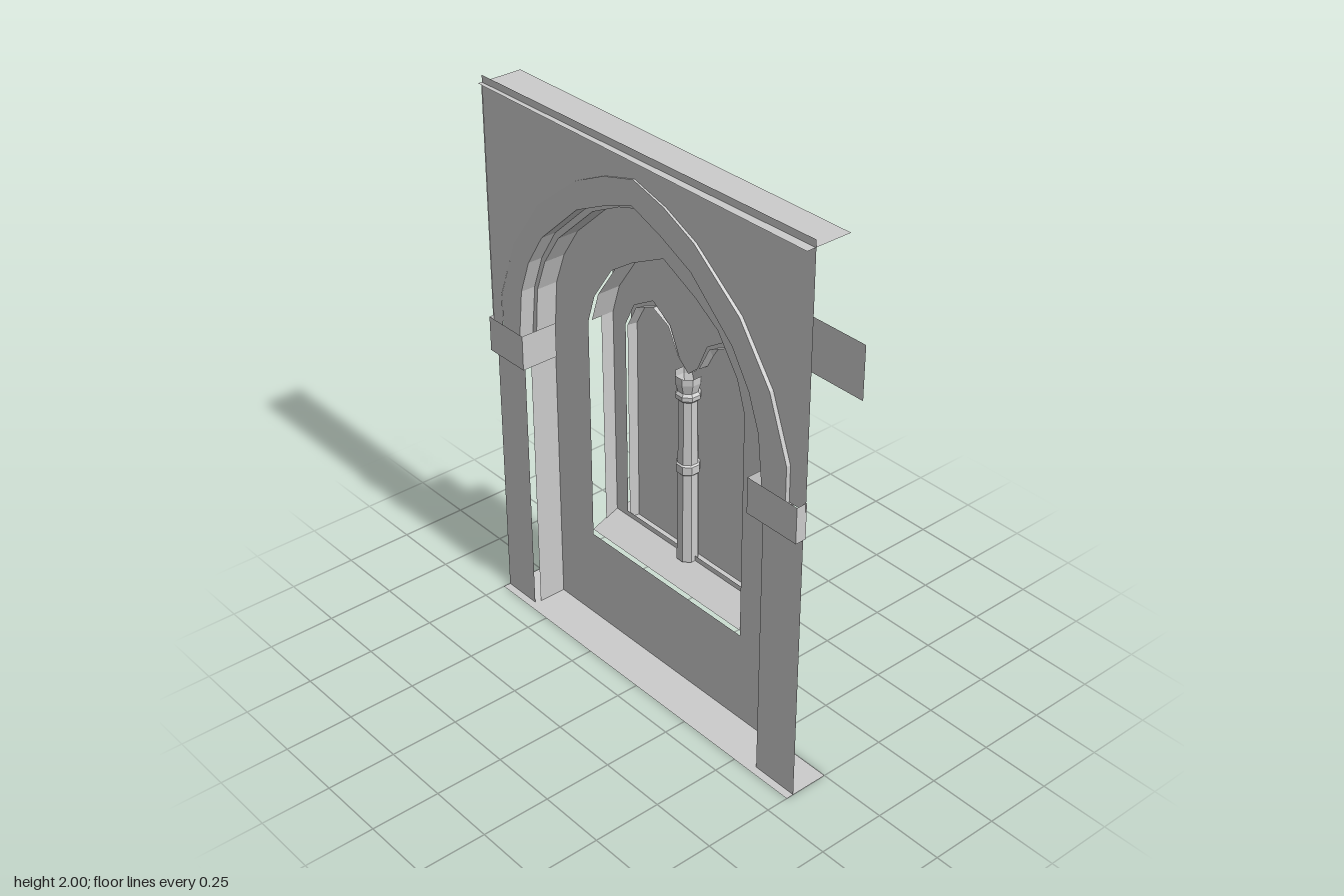
import * as THREE from 'three';

const mat = new THREE.MeshStandardMaterial({ color: 0xcccccc, side: THREE.DoubleSide, flatShading: true });

export function createModel() {
  const root = new THREE.Group();
  const add = (name, geo) => {
    const mesh = new THREE.Mesh(geo, mat);
    mesh.name = name;
    root.add(mesh);
    return mesh;
  };

  // Mirrors a left half profile (foot to crown) about x = cx into a full line
  const mirrored = (half, cx) => [
    ...half,
    ...half.filter(p => Math.abs(p[0] - cx) > 1e-4).reverse().map(([x, y]) => [2 * cx - x, y]),
  ];
  const rect = (xa, xb, y0, y1) => [[xa, y0], [xb, y0], [xb, y1], [xa, y1]];

  // Flat sheet facing the front, with optional hole
  const sheet = (name, outline, z, hole) => {
    const v = pts => pts.map(p => new THREE.Vector2(...p));
    const shape = new THREE.Shape(v(outline));
    if (hole) shape.holes.push(new THREE.Path(v(hole)));
    return add(name, new THREE.ShapeGeometry(shape).translate(0, 0, z));
  };

  // Band joining a line at depth za to a matching line at depth zb
  const band = (name, a, za, b, zb) => {
    const pos = [], index = [];
    a.forEach((p, i) => {
      pos.push(p[0], p[1], za, b[i][0], b[i][1], zb);
      if (i) index.push(2 * i - 2, 2 * i - 1, 2 * i, 2 * i, 2 * i - 1, 2 * i + 1);
    });
    const g = new THREE.BufferGeometry();
    g.setAttribute('position', new THREE.Float32BufferAttribute(pos, 3));
    g.setIndex(index);
    g.computeVertexNormals();
    return add(name, g);
  };

  // Stepped pointed arch lines, outermost first
  const co = -0.01, cx = -0.017;
  const outer = mirrored([[-0.7, 1.1], [-0.7, 1.23], [-0.62, 1.45], [-0.485, 1.64], [-0.285, 1.8], [-0.15, 1.865], [co, 1.905]], co);
  const middle = mirrored([[-0.61, 1.1], [-0.59, 1.285], [-0.545, 1.41], [-0.47, 1.53], [-0.285, 1.7], [-0.15, 1.765], [cx, 1.815]], cx);
  const inner = mirrored([[-0.59, 1.1], [-0.575, 1.28], [-0.53, 1.4], [-0.455, 1.515], [-0.275, 1.68], [-0.145, 1.745], [cx, 1.785]], cx);

  // Spandrel wall (slightly turned), hood ring flush with it, stepped reveals
  sheet('spandrelWall', [[-0.75, 1.1], ...outer, [0.75, 1.1], [0.75, 2], [-0.75, 2]], 0.144).rotation.y = 0.012;
  band('hoodOuterSide', outer, 0.15, outer, 0.095);
  sheet('hoodRing', [...outer, ...middle.slice().reverse()], 0.15);
  band('hoodReveal', middle, 0.15, middle, 0.05);
  sheet('innerArchRing', [...middle, ...inner.slice().reverse()], 0.095);
  band('innerArchReveal', inner, 0.095, inner, 0.005);

  // Top and bottom flanges and the side return
  for (const [name, y] of [['topFlange', 1.975], ['bottomFlange', 0]]) {
    const line = [[-0.75, y], [0.75, y]];
    band(name, line, 0.168, line, 0);
  }
  band('sideReturn', [[-0.75, 1.1], [-0.75, 1.975]], 0.155, [[-0.735, 1.1], [-0.735, 1.975]], 0.015);

  // Piers, jambs set just inside their edges, and open box capitals
  for (const [side, xo, xi, xj, xc] of [['right', -0.75, -0.6, -0.593, -0.57], ['left', 0.75, 0.575, 0.568, 0.535]]) {
    sheet(side + 'Pier', rect(Math.min(xo, xi), Math.max(xo, xi), 0, 1.02), 0.14);
    const jamb = [[xj, 0], [xj, 1.1]];
    band(side + 'PierJamb', jamb, 0.12, jamb, 0.015);
    sheet(side + 'Capital', rect(Math.min(xo, xc), Math.max(xo, xc), 1, 1.13), 0.17);
    for (const [x, z] of [[xc, 0.03], [xo, 0.13]]) {
      const edge = [[x, 1], [x, 1.13]];
      band(side + 'CapitalSide', edge, 0.17, edge, z);
    }
  }

  // Recessed wall with the niche opening
  const nx = -0.03;
  const nicheArch = mirrored([[-0.41, 1.2], [-0.375, 1.31], [-0.285, 1.44], [-0.18, 1.51], [nx, 1.585]], nx);
  sheet('recessWall', [[-0.602, 0], [-0.602, 1.1], ...inner, [0.577, 1.1], [0.577, 0]], 0.015,
    [[-0.41, 0.345], ...nicheArch, [0.35, 0.345]]);
  band('nicheArchReveal', nicheArch, 0, nicheArch, -0.09);
  band('nicheLeftJamb', [[0.35, 0.365], [0.35, 1.2]], 0.01, [[0.35, 0.41], [0.35, 1.2]], -0.09);
  band('nicheRightJamb', [[-0.405, 0.39], [-0.41, 1.2]], -0.04, [[-0.405, 0.41], [-0.41, 1.2]], -0.09);
  band('slopedSill', [[-0.41, 0.365], [0.35, 0.365]], 0.015, [[-0.41, 0.41], [0.35, 0.41]], -0.09);
  band('backSill', [[-0.41, 0.41], [0.35, 0.41]], -0.09, [[-0.41, 0.41], [0.35, 0.41]], -0.17);

  // Twin lancets: one opening with two crowns, slightly splayed to the back
  const lancets = (d, foot, crown) => mirrored([
    [-0.345 + d, foot], [-0.345 + d, 1.18], [-0.3 + d, 1.27 - d / 2], [-0.205, crown],
    [-0.12 - d, 1.27 - d / 2], [-0.075 - d / 2, 1.17], [nx, 1.13]], nx);
  sheet('traceryWall', [[-0.41, 0.41], [0.35, 0.41], [0.35, 1.39], [0.745, 1.39], [0.745, 1.58],
    [-0.625, 1.58], [-0.625, 1.39], [-0.41, 1.39]], -0.09, lancets(0, 0.43, 1.325));
  band('lancetReveal', lancets(0.01, 0.41, 1.3), -0.09, lancets(0.025, 0.41, 1.298), -0.16);
  sheet('windowPanel', rect(-0.36, 0.33, 0.41, 1.325), -0.125);

  // Central colonnette: shaft, shaft ring and capital turned in one profile
  const profile = [[0.039, 0.41], [0.037, 0.76], [0.042, 0.765], [0.042, 0.795], [0.036, 0.8],
    [0.034, 1.04], [0.044, 1.05], [0.044, 1.065], [0.036, 1.075], [0.046, 1.11], [0.046, 1.135]];
  add('colonnette', new THREE.LatheGeometry(profile.map(p => new THREE.Vector2(...p)), 8, Math.PI / 8))
    .position.set(-0.028, 0, -0.088);

  return root;
}
